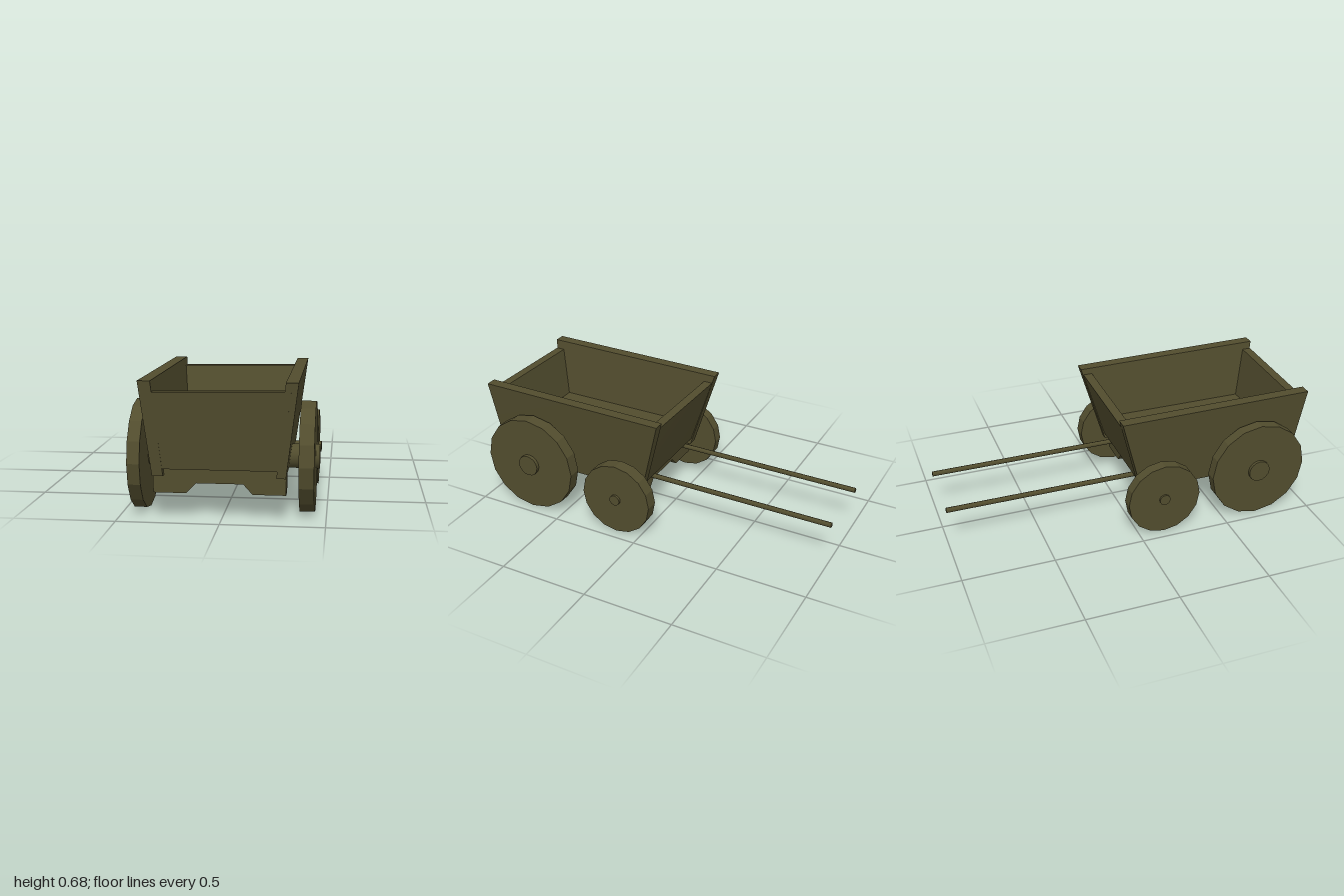
import * as THREE from 'three';

export function createModel() {
  const cart = new THREE.Group();
  cart.name = 'cart';
  const wood = new THREE.MeshStandardMaterial({ color: 0x524d2e });
  wood.name = 'dark olive wood';

  const add = (name, geometry) => {
    const mesh = new THREE.Mesh(geometry, wood);
    mesh.name = name;
    cart.add(mesh);
    return mesh;
  };

  // Tapered board between two rectangles [x0, x1, z0, z1]; heights may vary by corner
  const board = (name, bottom, yBottom, top, yTop) => {
    const g = new THREE.BoxGeometry(1, 1, 1);
    const p = g.attributes.position;
    for (let i = 0; i < p.count; i++) {
      const up = p.getY(i) > 0;
      const r = up ? top : bottom;
      const x = r[p.getX(i) > 0 ? 1 : 0];
      const z = r[p.getZ(i) > 0 ? 3 : 2];
      p.setXYZ(i, x, up ? yTop(x, z) : yBottom, z);
    }
    g.computeVertexNormals();
    return add(name, g);
  };

  // Cylinder lying along x from x0 to x1
  const roller = (name, x0, x1, r, y, z, sides, faceted) => {
    let g = new THREE.CylinderGeometry(r, r, x1 - x0, sides);
    g.rotateZ(Math.PI / 2);
    if (faceted) {
      g = g.toNonIndexed();
      g.computeVertexNormals();
    }
    add(name, g).position.set((x0 + x1) / 2, y, z);
  };

  // Cart body: leaning sides, end panels and a floor above the axles
  const sideTop = (x, z) => (z > 0.5 ? 0.68 : 0.67);
  board('leftSide', [0.265, 0.31, 0.05, 0.945], 0.215, [0.31, 0.37, -0.078, 1], sideTop);
  board('rightSide', [-0.33, -0.277, 0.05, 0.945], 0.215, [-0.383, -0.322, -0.078, 1], sideTop);
  const endTop = (x) => 0.632 + x * 0.015;
  board('frontPanel', [-0.3, 0.285, 0.893, 0.947], 0.25, [-0.345, 0.335, 0.948, 0.997], endTop);
  board('backPanel', [-0.3, 0.285, 0.047, 0.095], 0.25, [-0.345, 0.335, -0.065, -0.014], endTop);
  board('floor', [-0.3, 0.285, 0.06, 0.93], 0.32, [-0.3, 0.285, 0.05, 0.93], () => 0.352);

  // Notched cross beams under the floor
  const outline = [[-0.33, 0.25], [-0.33, 0.127], [-0.17, 0.127], [-0.122, 0.177],
    [0.105, 0.177], [0.15, 0.127], [0.31, 0.127], [0.31, 0.25]];
  const beam = new THREE.Shape(outline.map(([x, y]) => new THREE.Vector2(x, y)));
  for (const [name, z] of [['frontBeam', 0.83], ['backBeam', 0.09]]) {
    const g = new THREE.ExtrudeGeometry(beam, { depth: 0.085, bevelEnabled: false });
    add(name, g).position.z = z;
  }

  // Wheels and axles, large pair in front and small pair behind
  const pairs = [
    { end: 'front', r: 0.275, y: 0.276, z: 0.698, axle: 0.061, reach: 0.463 },
    { end: 'back', r: 0.205, y: 0.208, z: 0.14, axle: 0.03, reach: 0.457 },
  ];
  for (const { end, r, y, z, axle, reach } of pairs) {
    roller(end + 'LeftWheel', 0.37, 0.443, r, y, z, 16, true);
    roller(end + 'RightWheel', -0.447, -0.385, r, y, z, 16, true);
    roller(end + 'Axle', -reach, reach, axle, y, z, 16, false);
  }

  // Pair of long shafts at the back
  for (const [name, x] of [['leftShaft', 0.177], ['rightShaft', -0.2]]) {
    const g = new THREE.CylinderGeometry(0.014, 0.014, 1.12, 8);
    g.rotateX(Math.PI / 2);
    add(name, g).position.set(x, 0.242, -0.44);
  }
  return cart;
}
